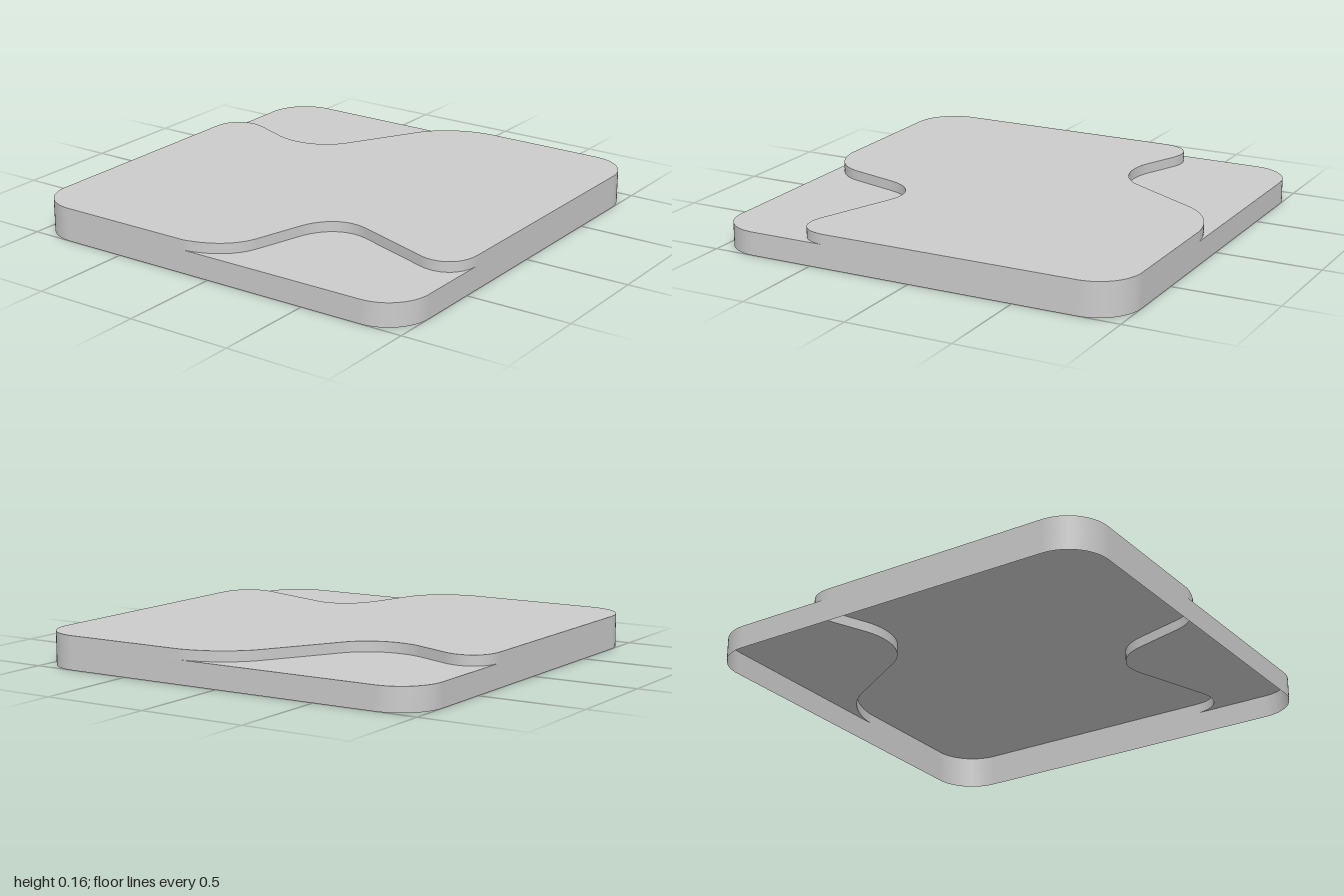
import * as THREE from 'three';

const LOW = 0.11, HIGH = 0.158, R = 0.2;
const material = new THREE.MeshStandardMaterial({ color: 0xcccccc, side: THREE.DoubleSide });

// Plan coordinates: (x, -z), so the back is up and counter-clockwise faces upward.
function curvePoints(start, ...steps) {
  const path = new THREE.Path().moveTo(...start);
  for (const s of steps) s.length === 2 ? path.lineTo(...s) : path.bezierCurveTo(...s);
  return path.getPoints(16);
}

// Rounded corner of the plate, quarter 0 being back left, going counter-clockwise
function corner(quarter) {
  const cx = [1, -1, -1, 1][quarter] * (1 - R), cy = [1, 1, -1, -1][quarter] * (1 - R);
  return Array.from({ length: 17 }, (_, i) => {
    const a = (quarter + i / 16) * Math.PI / 2;
    return new THREE.Vector2(cx + R * Math.cos(a), cy + R * Math.sin(a));
  });
}

// Flat upward-facing sheet
function sheet(name, points, y) {
  const geometry = new THREE.ShapeGeometry(new THREE.Shape(points));
  geometry.rotateX(-Math.PI / 2).translate(0, y, 0);
  const mesh = new THREE.Mesh(geometry, material);
  mesh.name = name;
  return mesh;
}

// Thin upright wall following a closed outline
function wall(name, points, y0, y1) {
  const position = [], index = [], n = points.length;
  points.forEach((p, i) => {
    position.push(p.x, y0, -p.y, p.x, y1, -p.y);
    const a = 2 * i, b = 2 * ((i + 1) % n);
    index.push(a, b, b + 1, a, b + 1, a + 1);
  });
  const geometry = new THREE.BufferGeometry();
  geometry.setAttribute('position', new THREE.Float32BufferAttribute(position, 3));
  geometry.setIndex(index);
  geometry.computeVertexNormals();
  const mesh = new THREE.Mesh(geometry, material);
  mesh.name = name;
  return mesh;
}

export function createModel() {
  const group = new THREE.Group();
  group.name = 'steppedPlate';

  // Wavy step lines, both running counter-clockwise around the raised area
  const frontStep = curvePoints([-1, 0.13],
    [-0.98, 0, -0.91, -0.095, -0.8, -0.123], [-0.58, -0.183],
    [-0.46, -0.215, -0.39, -0.31, -0.43, -0.43], [-0.56, -0.8],
    [-0.6, -0.91, -0.54, -1, -0.42, -1]);
  const backStep = curvePoints([1, -0.2],
    [0.99, -0.07, 0.92, 0.05, 0.82, 0.11], [0.47, 0.31],
    [0.36, 0.38, 0.33, 0.52, 0.375, 0.64], [0.44, 0.8],
    [0.485, 0.91, 0.43, 1, 0.31, 1]);

  const [backLeft, backRight, frontRight, frontLeft] = [0, 1, 2, 3].map(corner);
  const outline = [...backLeft, ...backRight, ...frontRight, ...frontLeft];
  const raised = [...backRight, ...frontStep, ...frontLeft, ...backStep];

  // Open-bottomed shell: rim, raised edge and three top sheets
  group.add(
    wall('rim', outline, 0, LOW),
    wall('raisedEdge', raised, LOW, HIGH),
    sheet('raisedTop', raised, HIGH),
    sheet('lowerFrontTop', [...frontRight, ...[...frontStep].reverse()], LOW),
    sheet('lowerBackTop', [...backLeft, ...[...backStep].reverse()], LOW),
  );
  return group;
}
